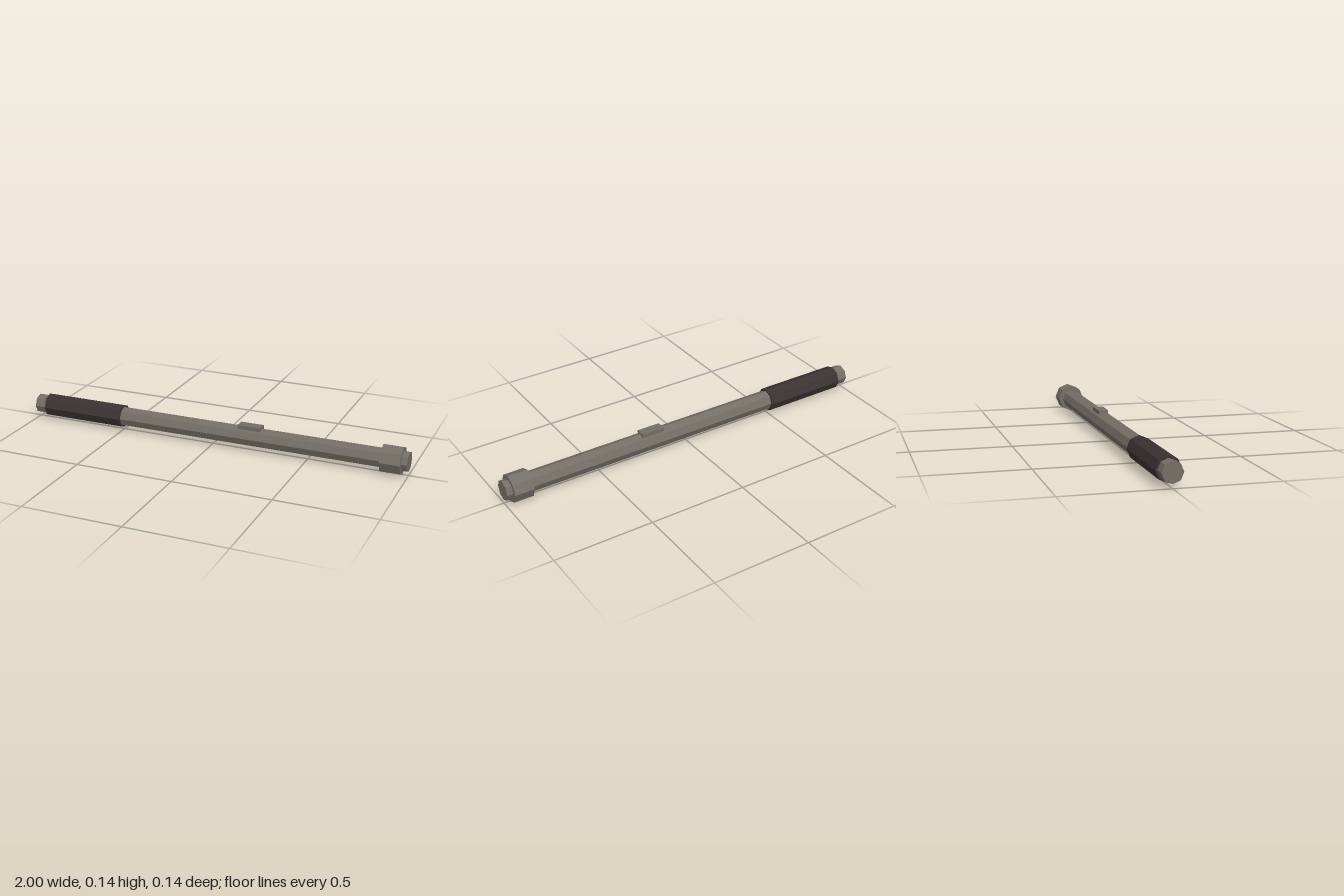
import * as THREE from 'three';

export function createModel() {
  const model = new THREE.Group();
  const metal = new THREE.MeshStandardMaterial({ name: 'dull metal', color: 0x736d65, flatShading: true });
  const leather = new THREE.MeshStandardMaterial({ name: 'dark leather', color: 0x3a3031, flatShading: true });
  const axisY = 0.07;

  // Eight-sided bar lying along x, with a corner pointing up
  function bar(name, x0, x1, radius, material) {
    const geometry = new THREE.CylinderGeometry(radius, radius, x1 - x0, 8);
    geometry.rotateZ(-Math.PI / 2);
    const mesh = new THREE.Mesh(geometry, material);
    mesh.name = name;
    mesh.position.set((x0 + x1) / 2, axisY, 0);
    model.add(mesh);
  }

  bar('shaft', -1, 1, 0.05, metal);
  bar('grip', -0.94, -0.5, 0.06, leather);
  bar('collar', 0.87, 0.97, 0.07, metal);

  // Small raised switch on top of the shaft
  const button = new THREE.Mesh(new THREE.BoxGeometry(0.12, 0.02, 0.05), metal);
  button.name = 'switch';
  button.position.set(0.2, 0.12, 0);
  model.add(button);

  return model;
}
